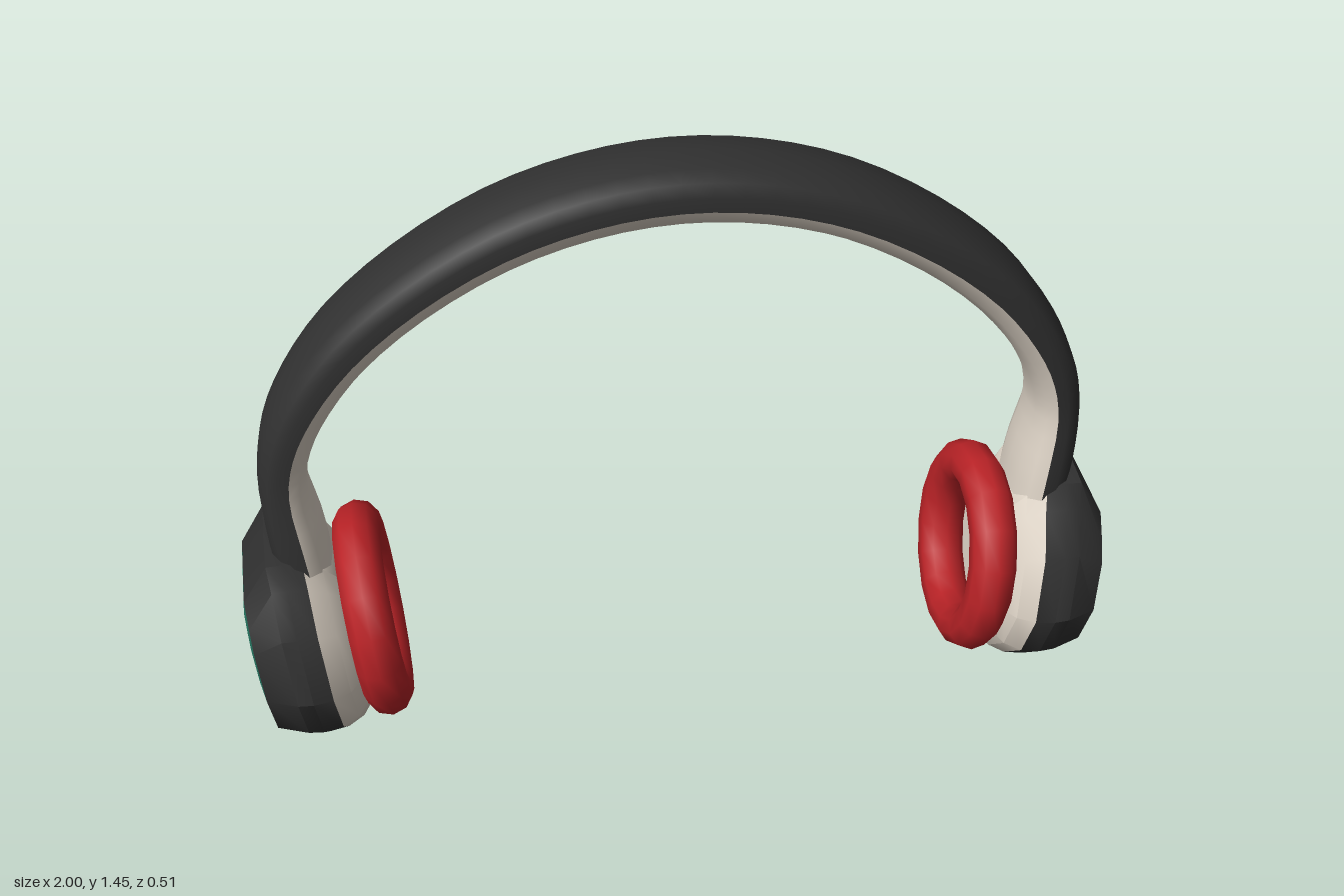
import * as THREE from 'three';
import { toCreasedNormals } from 'three/addons/utils/BufferGeometryUtils.js';

const paint = (name, color) => {
  const m = new THREE.MeshStandardMaterial({ color });
  m.name = name;
  return m;
};

// Skin a list of equal-length cross-sections (arrays of [x, y, z]).
function loft(sections, closed) {
  const n = sections[0].length, index = [];
  for (let i = 0; i < sections.length - 1; i++) {
    for (let j = 0; j < (closed ? n : n - 1); j++) {
      const k = (j + 1) % n;
      const a = i * n + j, b = i * n + k, c = b + n, d = a + n;
      index.push(a, b, c, a, c, d);
    }
  }
  const g = new THREE.BufferGeometry();
  g.setAttribute('position', new THREE.Float32BufferAttribute(sections.flat(2), 3));
  g.setIndex(index);
  g.computeVertexNormals();
  return g;
}

function mesh(name, geometry, material) {
  const m = new THREE.Mesh(geometry, material);
  m.name = name;
  return m;
}

// Half outlines of the cup, [z, y] from top to bottom.
const BODY = [[0, 0.555], [0.115, 0.545], [0.145, 0.49], [0.21, 0.4], [0.25, 0.24], [0.212, 0.12], [0.12, 0.035], [0, 0.005]];
const PLATE = [[0, 0.445], [0.11, 0.445], [0.155, 0.4], [0.19, 0.355], [0.215, 0.235], [0.18, 0.12], [0.1, 0.047], [0, 0.035]];

// Closed cup ring at depth x, leaning outward towards the top.
function ring(half, x, s = 1) {
  const full = [...half, ...half.slice(1, -1).reverse().map(([z, y]) => [-z, y])];
  return full.map(([z, y]) => {
    const h = (y - 0.25) * s;
    return [x + 0.13 * h, 0.25 + h, z * s];
  });
}

export function createModel() {
  const dark = paint('charcoal', 0x303030);
  const light = paint('warm light grey', 0xdcd2c5);
  const red = paint('red', 0xb82226);
  const green = paint('green', 0x267a64);
  const model = new THREE.Group();
  model.name = 'headphones';

  // Headband: outer edge [x, y, half width] and inner edge [x, y], from top to ear.
  const outer = [[0, 1.45, 0.112], [0.2, 1.428, 0.112], [0.4, 1.363, 0.111], [0.6, 1.245, 0.109], [0.76, 1.105, 0.106],
    [0.86, 0.965, 0.103], [0.915, 0.84, 0.1], [0.935, 0.72, 0.1], [0.93, 0.57, 0.117], [0.91, 0.45, 0.125]];
  const inner = [[0, 1.302], [0.18, 1.283], [0.36, 1.225], [0.535, 1.125], [0.67, 1.01],
    [0.76, 0.895], [0.808, 0.8], [0.825, 0.71], [0.8, 0.57], [0.785, 0.45]];
  const arch = (half) => {
    const pts = [...half.slice(1).reverse(), ...half.map(([x, ...r]) => [-x, ...r])];
    return new THREE.CatmullRomCurve3(pts.map(([x, y, w = 0]) => new THREE.Vector3(x, y, w))).getPoints(54);
  };
  const top = arch(outer), under = arch(inner);
  // Section points: [share of half width, share of thickness].
  const band = (profile) => loft(top.map((o, i) => profile.map(([w, t]) => [
    THREE.MathUtils.lerp(under[i].x, o.x, t), THREE.MathUtils.lerp(under[i].y, o.y, t), w * o.z])), false);
  const shell = [[1, 0.4], [0.98, 0.62], [0.88, 0.82], [0.62, 0.95], [0, 1]];
  const lining = [[1, 0.4], [0.86, 0.18], [0.5, 0.04], [0, 0]];
  const mirrored = (p) => [...p, ...p.slice(0, -1).reverse().map(([w, t]) => [-w, t])];
  model.add(mesh('headbandShell', band(mirrored(shell)), dark));
  model.add(mesh('headbandLining', band(mirrored(lining).reverse()), light));

  // Ear cups: the second is the first turned half way round.
  const creased = (rings) => toCreasedNormals(loft(rings, true), 0.55);
  const body = creased([ring(BODY, 0.82, 0.97), ring(BODY, 0.865), ring(BODY, 0.9, 0.99), ring(PLATE, 0.97)]);
  const back = creased([ring(BODY, 0.757, 0), ring(BODY, 0.757, 0.76), ring(BODY, 0.78, 0.88), ring(BODY, 0.82, 0.97)]);
  const plate = creased([ring(PLATE, 0.97), ring(PLATE, 0.983, 0.7), ring(PLATE, 0.985, 0)]);
  const pad = new THREE.TorusGeometry(0.2, 0.055, 10, 16).rotateY(Math.PI / 2).rotateZ(-0.12).translate(0.71, 0.3, 0);
  for (const [name, turn] of [['leftEarCup', 0], ['rightEarCup', Math.PI]]) {
    const cup = new THREE.Group();
    cup.name = name;
    cup.add(mesh('cupShell', body, dark), mesh('cupInnerFace', back, light),
      mesh('cupOuterPlate', plate, green), mesh('earCushion', pad, red));
    cup.rotation.y = turn;
    model.add(cup);
  }
  return model;
}
